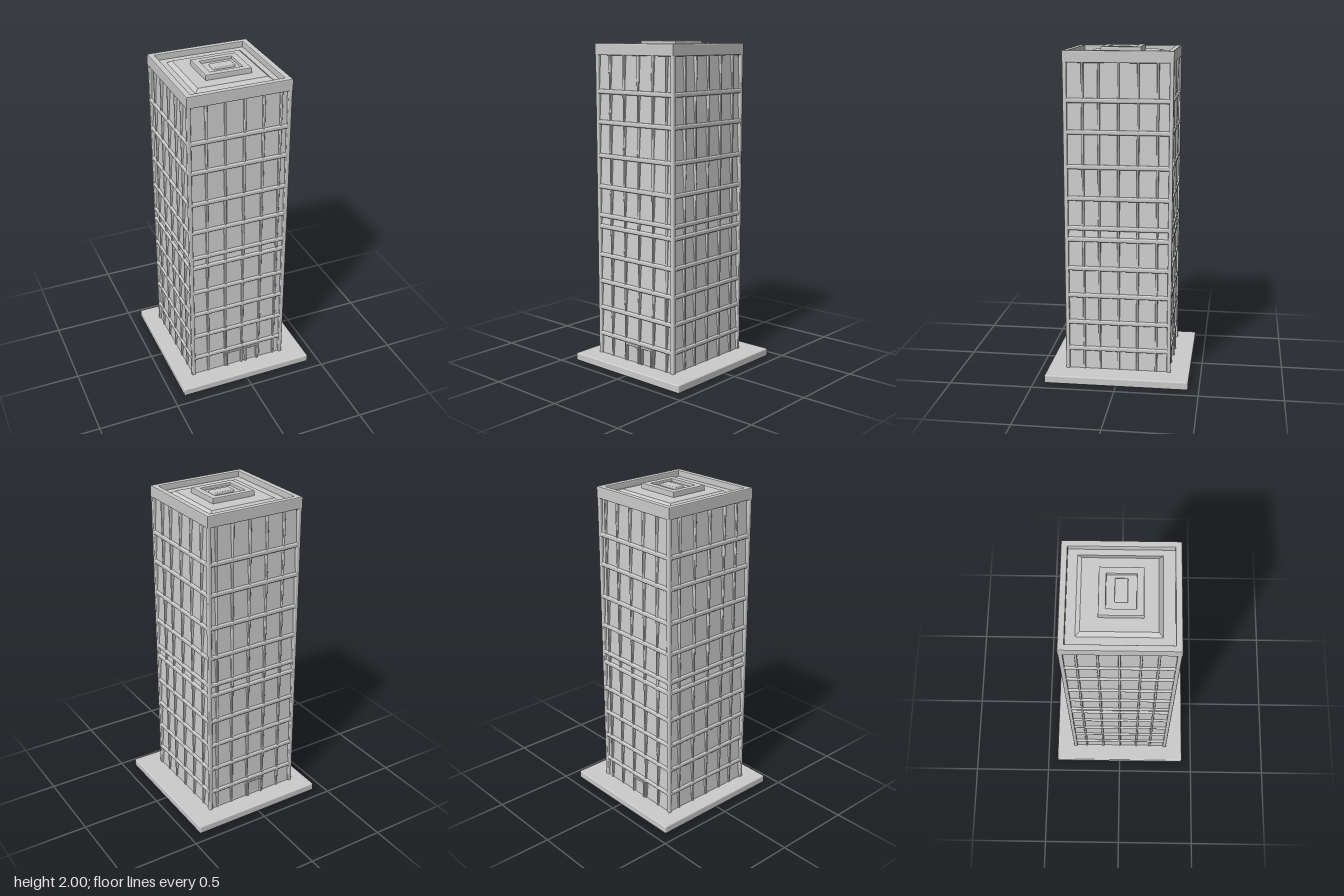
import * as THREE from 'three';
import { RoundedBoxGeometry } from 'three/addons/geometries/RoundedBoxGeometry.js';

const material = new THREE.MeshStandardMaterial({ color: 0xcccccc });

// Tower footprint
const X0 = -0.335, X1 = 0.292, Z0 = -0.32, Z1 = 0.325;
const CX = (X0 + X1) / 2, CZ = (Z0 + Z1) / 2, W = X1 - X0, D = Z1 - Z0;

function add(parent, name, geometry, x, y, z) {
  const mesh = new THREE.Mesh(geometry, material);
  mesh.name = name;
  mesh.position.set(x, y, z);
  parent.add(mesh);
  return mesh;
}

// Softened box given by its limits
function block(parent, name, x0, x1, y0, y1, z0, z1, r = 0.006) {
  return add(parent, name, new RoundedBoxGeometry(x1 - x0, y1 - y0, z1 - z0, 2, r),
    (x0 + x1) / 2, (y0 + y1) / 2, (z0 + z1) / 2);
}

// Box whose top is inset more than its bottom
function taperedBlock(parent, name, w, d, y0, y1, lower, upper, x = CX, z = CZ) {
  const g = new THREE.BoxGeometry(w, y1 - y0, d);
  const p = g.attributes.position;
  for (let i = 0; i < p.count; i++) {
    const inset = p.getY(i) > 0 ? upper : lower;
    p.setX(i, p.getX(i) - Math.sign(p.getX(i)) * inset);
    p.setZ(i, p.getZ(i) - Math.sign(p.getZ(i)) * inset);
  }
  g.computeVertexNormals();
  return add(parent, name, g, x, (y0 + y1) / 2, z);
}

// Rectangular ring with a bevelled edge
function ring(parent, name, x0, x1, z0, z1, wall, y0, y1) {
  const b = 0.006;
  const rect = (Type, i) => new Type([
    [x0 + i, -z1 + i], [x1 - i, -z1 + i], [x1 - i, -z0 - i], [x0 + i, -z0 - i],
  ].map(([x, y]) => new THREE.Vector2(x, y)));
  const shape = rect(THREE.Shape, b);
  shape.holes.push(rect(THREE.Path, wall - b));
  const g = new THREE.ExtrudeGeometry(shape, {
    depth: y1 - y0 - 2 * b, bevelSize: b, bevelThickness: b, bevelSegments: 2,
  });
  g.rotateX(-Math.PI / 2);
  return add(parent, name, g, 0, y0 + b, 0);
}

// Door: two jambs, a lintel and a leaf on the front (+1) or back (-1)
function doorway(parent, name, x0, x1, side) {
  const door = new THREE.Group();
  door.name = name;
  const face = side > 0 ? Z1 : Z0;
  const part = (n, a, b, y0, y1, out) => {
    const zs = [face - side * 0.03, face + side * out].sort((p, q) => p - q);
    block(door, n, a, b, y0, y1, zs[0], zs[1], 0.004);
  };
  part('doorJamb', x0, x0 + 0.012, 0.05, 0.165, 0.004);
  part('doorJamb', x1 - 0.012, x1, 0.05, 0.165, 0.004);
  part('doorLintel', x0, x1, 0.152, 0.168, 0.004);
  part('doorLeaf', x0 + 0.01, x1 - 0.01, 0.05, 0.155, -0.012);
  parent.add(door);
}

export function createModel() {
  const model = new THREE.Group();
  model.name = 'towerBlock';

  block(model, 'basePlinth', -0.43, 0.43, 0, 0.05, -0.435, 0.435, 0.008);

  // Storeys: walls leaning back to a shaded head, with a ledge over each
  const storeys = new THREE.Group();
  storeys.name = 'storeys';
  const levels = [0.045, 0.18, 0.35, 0.52, 0.69, 0.87, 0.94, 1.12, 1.31, 1.515, 1.70, 1.93];
  for (let i = 0; i < levels.length - 1; i++) {
    taperedBlock(storeys, 'windowWall', W, D, levels[i], levels[i + 1], 0.01, 0.024);
    if (i > 0) {
      const y = levels[i];
      block(storeys, 'floorLedge', X0, X1, y - 0.015, y + 0.013, Z0, Z1, 0.009);
    }
  }
  model.add(storeys);

  // Corner posts and window mullions, run the full height
  const mullions = new THREE.Group();
  mullions.name = 'mullions';
  const inset = 0.004, t = 0.007;
  for (const x of [X0 + 0.012, X1 - 0.012]) {
    for (const z of [Z0 + 0.012, Z1 - 0.012]) {
      block(mullions, 'cornerPost', x - 0.012, x + 0.012, 0.045, 1.94, z - 0.012, z + 0.012);
    }
  }
  for (const x of [-0.22, -0.105, 0.01, 0.125, 0.23]) {
    for (const [a, b] of [[Z1 - 0.04, Z1 - inset], [Z0 + inset, Z0 + 0.04]]) {
      block(mullions, 'mullion', x - t, x + t, 0.045, 1.94, a, b, 0.005);
    }
  }
  for (const z of [-0.23, -0.115, 0, 0.115, 0.21]) {
    for (const [a, b] of [[X1 - 0.04, X1 - inset], [X0 + inset, X0 + 0.04]]) {
      block(mullions, 'mullion', a, b, 0.045, 1.94, z - t, z + t, 0.005);
    }
  }
  model.add(mullions);

  doorway(model, 'frontDoorLeft', 0.028, 0.118, 1);
  doorway(model, 'frontDoorRight', -0.1, 0.012, 1);
  doorway(model, 'backDoor', -0.1, 0.012, -1);

  // Roof: parapet, gutter, stepped deck and a hollow-topped plant room
  const roof = new THREE.Group();
  roof.name = 'roof';
  ring(roof, 'parapet', X0, X1, Z0, Z1, 0.036, 1.915, 1.986);
  block(roof, 'roofSlab', X0 + 0.02, X1 - 0.02, 1.92, 1.95, Z0 + 0.02, Z1 - 0.02);
  taperedBlock(roof, 'roofDeck', 0.48, 0.47, 1.945, 1.968, 0, 0.03, -0.012, -0.003);
  ring(roof, 'plantRoomWall', -0.145, 0.133, -0.115, 0.125, 0.04, 1.955, 2.0);
  block(roof, 'plantRoomFloor', -0.12, 0.11, 1.955, 1.982, -0.09, 0.1);
  block(roof, 'plantUnit', -0.065, 0.07, 1.97, 1.996, -0.03, 0.04);
  model.add(roof);

  return model;
}
